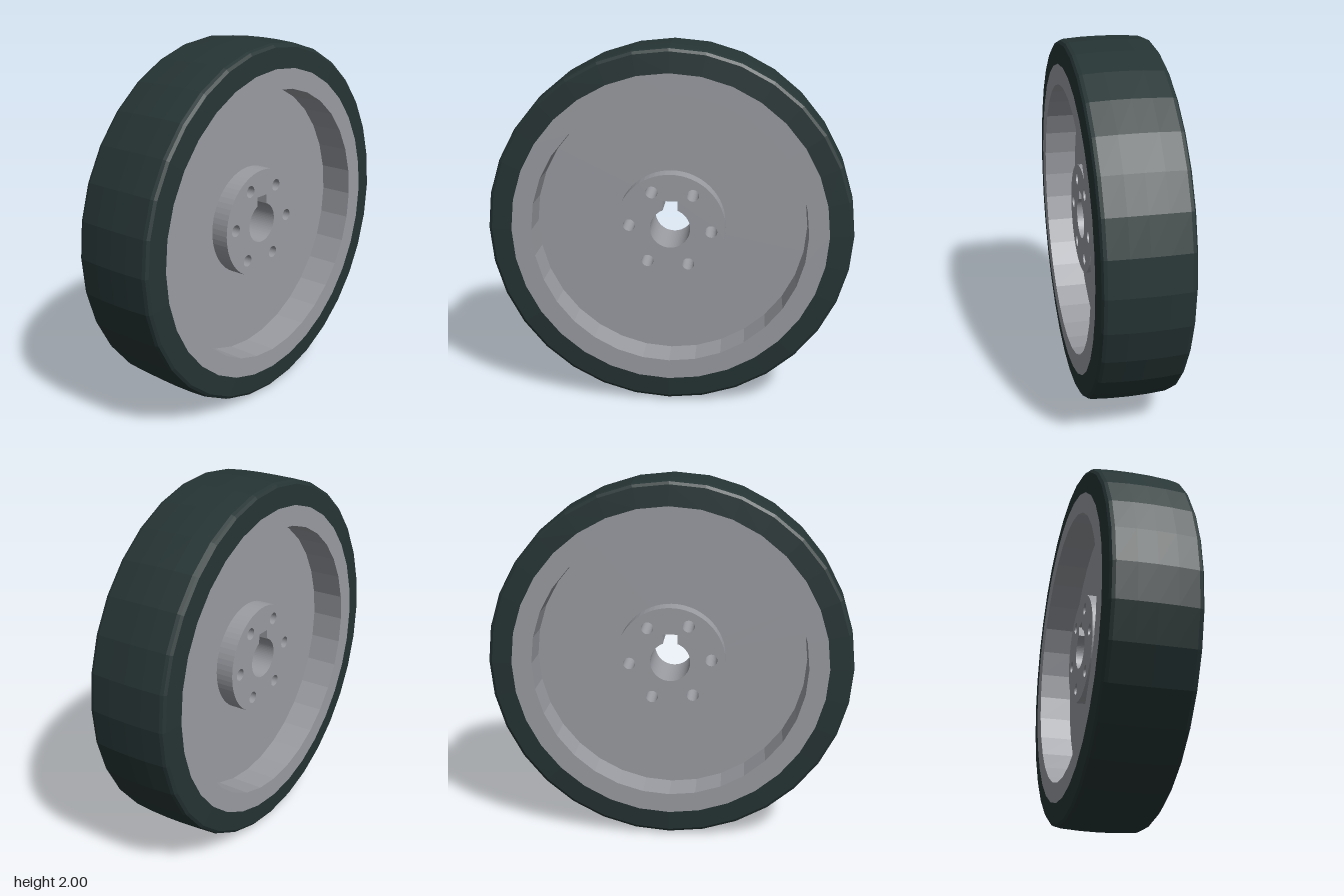
import * as THREE from 'three';

const SEG = 32;

// Revolve a [radius, x] profile about the x axis, with faceted sides
function revolve(points, material, name) {
  const geo = new THREE.LatheGeometry(points.map(([r, x]) => new THREE.Vector2(r, x)), SEG);
  geo.rotateZ(-Math.PI / 2);
  const mesh = new THREE.Mesh(geo, material);
  mesh.name = name;
  return mesh;
}

// Complete a half profile (centre outwards) by mirroring it across x = 0
const mirrored = (half) => [
  ...half.map(([r, x]) => [r, -x]).reverse(),
  ...half.filter(([, x]) => x > 0),
];

export function createModel() {
  const rubber = new THREE.MeshStandardMaterial({ color: 0x263434, flatShading: true });
  rubber.name = 'dark rubber';
  const metal = new THREE.MeshStandardMaterial({ color: 0x9a9ca2, flatShading: true });
  metal.name = 'grey metal';

  const wheel = new THREE.Group();
  wheel.name = 'wheel';

  // Tyre with a slightly crowned tread and rounded shoulders
  wheel.add(revolve(mirrored([
    [1, 0], [0.998, 0.1], [0.991, 0.205], [0.985, 0.222],
    [0.97, 0.232], [0.86, 0.24],
  ]), rubber, 'tyre'));

  // Rim with a thin web recessed on both sides
  wheel.add(revolve(mirrored([
    [0.86, 0], [0.86, 0.24], [0.75, 0.24], [0.75, 0.055], [0.3, 0.055],
  ]), metal, 'rimAndWeb'));

  // Hub disc with a keyed bore and six bolt holes
  const hubShape = new THREE.Shape().absarc(0, 0, 0.303, 0, Math.PI * 2);

  const boreR = 0.11, keyW = 0.04, keyTop = 0.155;
  const a = Math.acos(keyW / boreR);
  const bore = new THREE.Path();
  bore.moveTo(keyW, keyTop);
  bore.lineTo(-keyW, keyTop);
  bore.absarc(0, 0, boreR, Math.PI - a, Math.PI * 2 + a, false);
  bore.lineTo(keyW, keyTop);
  hubShape.holes.push(bore);

  for (let i = 0; i < 6; i++) {
    const t = THREE.MathUtils.degToRad(-3.5 + 60 * i);
    hubShape.holes.push(new THREE.Path().absarc(
      0.226 * Math.cos(t), 0.226 * Math.sin(t), 0.033, 0, Math.PI * 2, true));
  }

  const hubGeo = new THREE.ExtrudeGeometry(hubShape, {
    depth: 0.31, bevelEnabled: false, curveSegments: SEG,
  });
  hubGeo.translate(0, 0, -0.155);
  hubGeo.rotateY(Math.PI / 2);
  const hub = new THREE.Mesh(hubGeo, metal);
  hub.name = 'hub';
  wheel.add(hub);

  wheel.position.y = 1;
  const model = new THREE.Group();
  model.add(wheel);
  return model;
}
